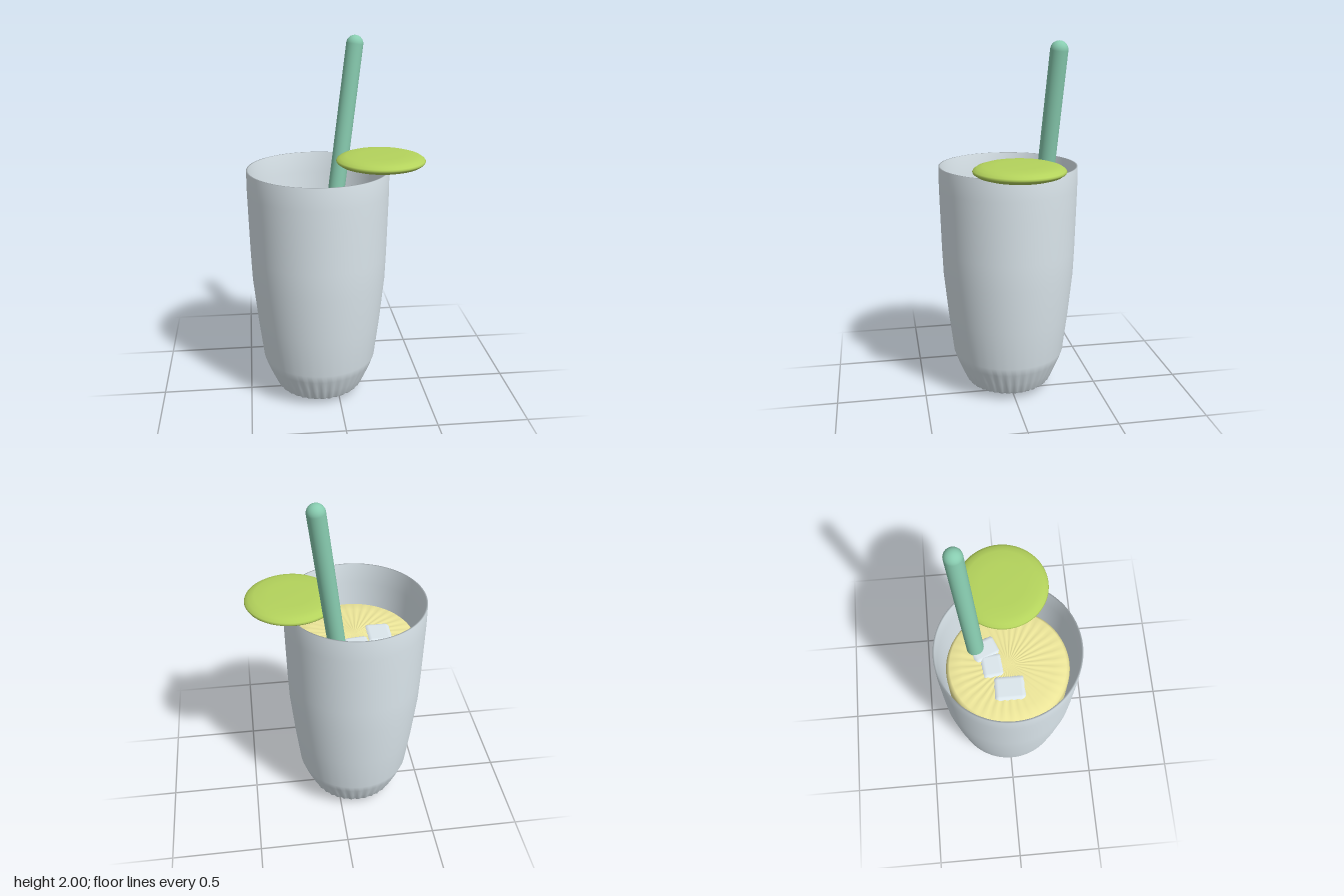
import * as THREE from 'three';
import { mergeVertices } from 'three/addons/utils/BufferGeometryUtils.js';
import { RoundedBoxGeometry } from 'three/addons/geometries/RoundedBoxGeometry.js';

const FLUTES = 36;
const CUP_X = -0.1;

function addMesh(parent, name, geometry, color, x = 0, y = 0, z = 0) {
  const material = new THREE.MeshStandardMaterial({ color });
  const mesh = new THREE.Mesh(geometry, material);
  mesh.name = name;
  mesh.position.set(x, y, z);
  parent.add(mesh);
  return mesh;
}

// Revolve [radius, y] pairs; an optional rule then moves each vertex
function revolve(points, segments, rule) {
  const g = new THREE.LatheGeometry(points.map(([r, y]) => new THREE.Vector2(r, y)), segments);
  if (!rule) return g;
  const p = g.attributes.position;
  const v = new THREE.Vector3();
  for (let i = 0; i < p.count; i++) {
    v.fromBufferAttribute(p, i);
    rule(v, Math.hypot(v.x, v.z), Math.cos(FLUTES * Math.atan2(v.z, v.x)));
    p.setXYZ(i, v.x, v.y, v.z);
  }
  g.deleteAttribute('uv');
  g.deleteAttribute('normal');
  const merged = mergeVertices(g, 1e-5);
  merged.computeVertexNormals();
  return merged;
}

export function createModel() {
  const group = new THREE.Group();

  // Thin-walled cup with soft flutes around the foot
  const cup = revolve([
    [0, 0.002], [0.12, 0.022], [0.225, 0.036], [0.24, 0.05], [0.268, 0.11], [0.3, 0.18], [0.318, 0.23],
    [0.345, 0.45], [0.37, 0.7], [0.376, 0.85], [0.382, 1.08], [0.385, 1.2], [0.385, 1.32],
    [0.376, 1.32], [0.37, 1.2], [0.358, 0.95], [0.345, 0.7], [0.3, 0.25], [0.22, 0.09], [0, 0.07],
  ], FLUTES * 4, (v, r, wave) => {
    if (v.y > 0.2 || r < 0.05) return;
    const s = 1 + 0.004 * wave / r * Math.min(1, (0.22 - v.y) / 0.12);
    v.x *= s;
    v.z *= s;
  });
  addMesh(group, 'cup', cup, 0xdce7ed, CUP_X);

  // Drink with faint radial ripples on its surface
  const drink = revolve([
    [0, 0.1], [0.2, 0.12], [0.29, 0.27], [0.333, 0.7], [0.336, 1.05], [0.33, 1.075],
    [0.315, 1.09], [0.25, 1.095], [0.15, 1.098], [0.07, 1.1], [0, 1.1],
  ], FLUTES * 4, (v, r, wave) => {
    if (v.y > 1.08 && r > 0.03 && r < 0.3) v.y += 0.002 * wave;
  });
  addMesh(group, 'drink', drink, 0xeee79a, CUP_X);

  // Ice cubes just breaking the surface: x, z, width, depth, turn
  [
    [-0.232, -0.002, 0.15, 0.18, 0],
    [-0.1, -0.085, 0.15, 0.13, 0.1],
    [-0.005, -0.12, 0.13, 0.16, 0.4],
  ].forEach(([x, z, w, d, turn]) => {
    const ice = addMesh(group, 'iceCube', new RoundedBoxGeometry(w, 0.14, d, 4, 0.03), 0xdce7ed, x, 1.036, z);
    ice.rotation.y = turn;
  });

  // Leaning straw with rounded ends
  const top = new THREE.Vector3(0.125, 1.953, -0.226);
  const bottom = new THREE.Vector3(-0.08, 0.4, -0.12);
  const axis = top.clone().sub(bottom);
  const straw = addMesh(group, 'straw', new THREE.CapsuleGeometry(0.047, axis.length(), 8, 32), 0x88ccb0);
  straw.position.copy(bottom).addScaledVector(axis, 0.5);
  straw.quaternion.setFromUnitVectors(new THREE.Vector3(0, 1, 0), axis.normalize());

  // Lens-shaped citrus slice resting on the rim
  const slice = revolve([
    [0, -0.034], [0.12, -0.034], [0.19, -0.03], [0.222, -0.02], [0.239, -0.008], [0.243, 0],
    [0.239, 0.008], [0.222, 0.02], [0.19, 0.03], [0.12, 0.034], [0, 0.034],
  ], 64);
  addMesh(group, 'citrusSlice', slice, 0xb4d35c, 0.243, 1.356, 0);

  return group;
}
